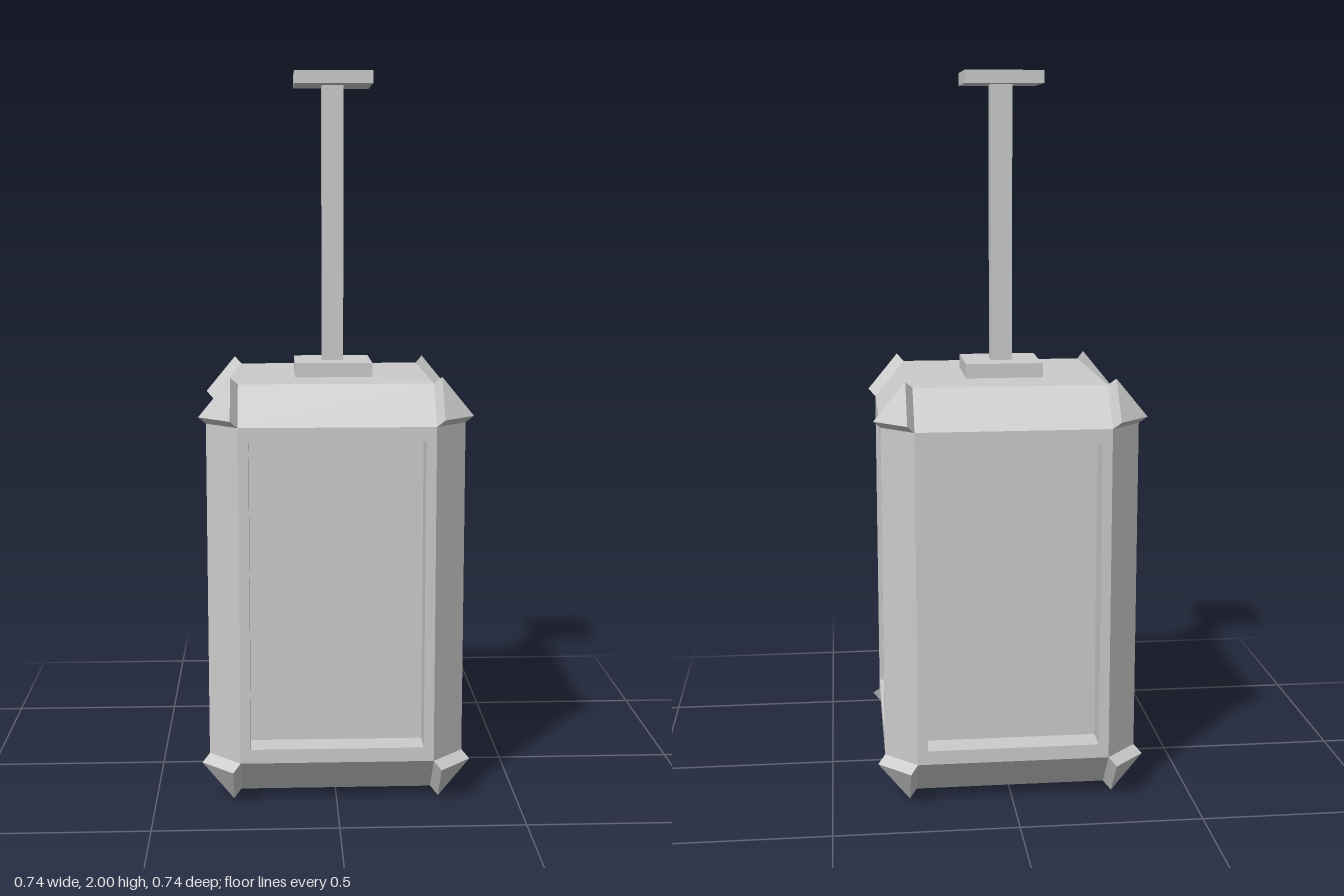
import * as THREE from 'three';
import { ConvexGeometry } from 'three/addons/geometries/ConvexGeometry.js';

// Main dimensions: inner edge and outer face of the body, then the heights
const IN = 0.265, OUT = 0.352;
const BOTTOM = 0.02, LOW = 0.126, HIGH = 1.054, TOP = 1.16;
const WIN = 0.237, WIN_LOW = 0.165, WIN_HIGH = 1.015;
const CAVITY = 0.2, PANE = 0.275, LIFT = 0.02;

const material = new THREE.MeshStandardMaterial({ color: 0xcccccc, flatShading: true });

const polygon = (points) => new THREE.Shape(points.map(([x, y]) => new THREE.Vector2(x, y)));

const rectangle = (x, y0, y1) => polygon([[-x, y0], [x, y0], [x, y1], [-x, y1]]);

function extrude(shape, depth) {
  return new THREE.ExtrudeGeometry(shape, { depth, bevelEnabled: false });
}

function box(halfWidth, y0, y1) {
  return new THREE.BoxGeometry(2 * halfWidth, y1 - y0, 2 * halfWidth).translate(0, (y0 + y1) / 2, 0);
}

export function createModel() {
  const lantern = new THREE.Group();
  lantern.name = 'hangingLantern';

  function add(name, geometry, turn = 0) {
    const mesh = new THREE.Mesh(geometry, material);
    mesh.name = name;
    mesh.rotation.y = turn * Math.PI / 2;
    lantern.add(mesh);
  }

  // Window frame with a rectangular opening, facing +z
  const frameShape = rectangle(IN, LOW, HIGH);
  frameShape.holes.push(rectangle(WIN, WIN_LOW, WIN_HIGH));
  const frame = extrude(frameShape, OUT - IN).translate(0, 0, IN);

  // Recessed pane behind the frame
  const pane = new THREE.BoxGeometry(2 * IN, HIGH - LOW, PANE - CAVITY)
    .translate(0, (LOW + HIGH) / 2, (PANE + CAVITY) / 2);

  // Chamfered corner post
  const post = extrude(polygon([[IN, IN], [OUT, IN], [IN, OUT]]), HIGH - LOW)
    .rotateX(-Math.PI / 2).translate(0, LOW, 0);

  // Sloping rail along a horizontal edge
  const rail = (edge, end) =>
    extrude(polygon([[IN, edge], [OUT, edge], [IN, end]]), 2 * IN).translate(0, 0, -IN);

  // Raised triangular cap on a corner, pushed out along the diagonal
  function cap(edge, end) {
    const triangle = [[IN, end, IN], [OUT, edge, IN], [IN, edge, OUT]]
      .map((p) => new THREE.Vector3(...p));
    const push = new THREE.Vector3(LIFT, Math.sign(end - edge) * LIFT, LIFT);
    return new ConvexGeometry([...triangle, ...triangle.map((p) => p.clone().add(push))]);
  }

  const topRail = rail(HIGH, TOP), bottomRail = rail(LOW, BOTTOM);
  const topCap = cap(HIGH, TOP), bottomCap = cap(LOW, BOTTOM);

  for (let i = 0; i < 4; i++) {
    add('windowFrame', frame, i);
    add('windowPane', pane, i);
    add('cornerPost', post, i);
    add('topRail', topRail, i);
    add('bottomRail', bottomRail, i);
    add('topCornerCap', topCap, i);
    add('bottomCornerCap', bottomCap, i);
  }

  // Solid roof and open base
  add('roof', box(IN, HIGH, TOP));
  const baseShape = rectangle(IN, -IN, IN);
  baseShape.holes.push(rectangle(CAVITY, -CAVITY, CAVITY));
  add('openBase', extrude(baseShape, LOW - BOTTOM).rotateX(-Math.PI / 2).translate(0, BOTTOM, 0));

  // Hanging rod between two square plates
  add('lowerPlate', box(0.108, TOP, 1.2));
  add('hangingRod', box(0.03, 1.2, 1.965));
  add('ceilingPlate', box(0.108, 1.965, 2));

  return lantern;
}
